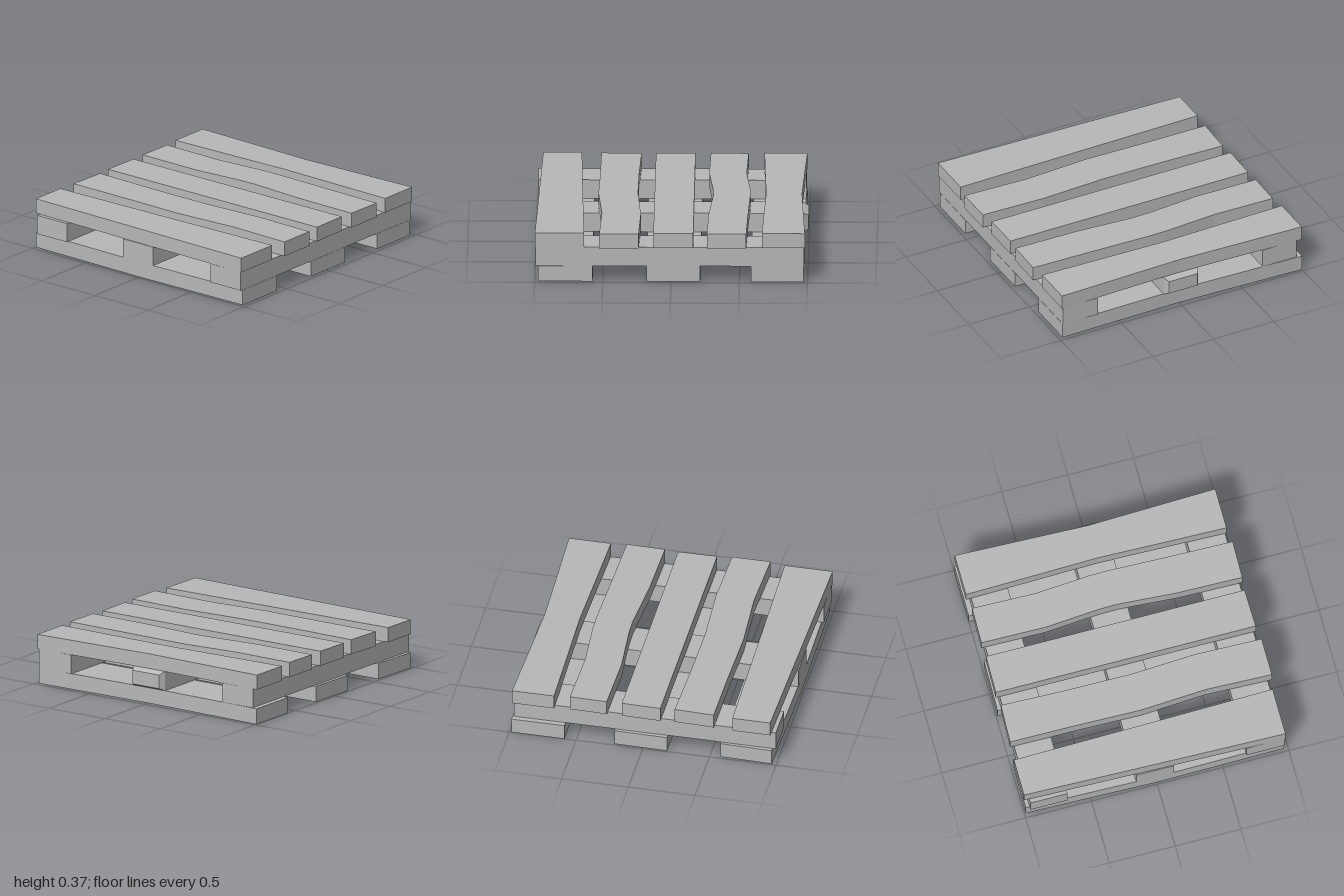
import * as THREE from 'three';

const wood = new THREE.MeshStandardMaterial({ color: 0xb8b8b8 });
wood.name = 'plain grey wood';

// Board with a wavy outline: back and front edges as [x, z] points, left to right
function board(name, back, front, y0, y1) {
  const outline = [...back, ...[...front].reverse()].map(([x, z]) => new THREE.Vector2(x, -z));
  const geo = new THREE.ExtrudeGeometry(new THREE.Shape(outline), { depth: y1 - y0, bevelEnabled: false });
  geo.rotateX(-Math.PI / 2).translate(0, y0, 0);
  const mesh = new THREE.Mesh(geo, wood);
  mesh.name = name;
  return mesh;
}

// Stringer beam; its back end can narrow to a blunt nose
function stringer(name, x0, x1, z0, z1, nose) {
  const y0 = 0.118, y1 = 0.262;
  let geo = new THREE.BoxGeometry(x1 - x0, y1 - y0, z1 - z0, 1, 1, 2);
  const p = geo.attributes.position;
  for (let i = 0; i < p.count; i++) {
    const z = p.getZ(i);
    if (Math.abs(z) < 0.01) p.setZ(i, (z0 - z1) / 2 + 0.04);
    else if (z < 0 && nose) p.setXY(i, p.getX(i) * 0.83, p.getY(i) * 0.72);
  }
  geo.translate((x0 + x1) / 2, (y0 + y1) / 2, (z0 + z1) / 2);
  geo = geo.toNonIndexed();
  geo.computeVertexNormals();
  const mesh = new THREE.Mesh(geo, wood);
  mesh.name = name;
  return mesh;
}

export function createModel() {
  const pallet = new THREE.Group();
  pallet.name = 'pallet';

  // Deck boards, back to front
  const deck = [
    [[[-1, -0.98], [0, -0.95], [0.98, -0.98]],
      [[-1, -0.665], [-0.5, -0.675], [0, -0.687], [0.5, -0.675], [0.98, -0.665]]],
    [[[-0.985, -0.55], [-0.5, -0.54], [-0.1, -0.57], [0.05, -0.572], [0.5, -0.56], [0.995, -0.55]],
      [[-0.99, -0.272], [-0.5, -0.265], [-0.1, -0.297], [0.05, -0.3], [0.5, -0.27], [0.99, -0.262]]],
    [[[-0.985, -0.16], [0.98, -0.162]], [[-0.99, 0.13], [0.985, 0.13]]],
    [[[-0.98, 0.235], [-0.5, 0.248], [0, 0.252], [0.5, 0.226], [1, 0.238]],
      [[-0.99, 0.53], [-0.5, 0.533], [0, 0.542], [0.5, 0.512], [1, 0.527]]],
    [[[-1, 0.672], [0, 0.656], [0.975, 0.638]], [[-1, 0.956], [0, 0.978], [0.975, 0.998]]],
  ];
  deck.forEach(([back, front], i) => pallet.add(board('deckBoard' + (i + 1), back, front, 0.262, 0.373)));

  // Three stringers running front to back
  pallet.add(stringer('rightStringer', -0.96, -0.68, -0.975, 0.99, false));
  pallet.add(stringer('middleStringer', -0.155, 0.13, -1, 0.985, true));
  pallet.add(stringer('leftStringer', 0.68, 0.968, -0.975, 0.995, false));

  // Bottom boards, back to front
  const base = [
    [[[-1, -0.985], [0, -0.955], [0.97, -0.97]], [[-1, -0.587], [0.97, -0.585]]],
    [[[-0.985, -0.215], [0.97, -0.213]], [[-0.99, 0.18], [0.97, 0.182]]],
    [[[-0.98, 0.578], [0.97, 0.575]], [[-0.99, 0.965], [0, 0.985], [0.97, 0.975]]],
  ];
  base.forEach(([back, front], i) => pallet.add(board('bottomBoard' + (i + 1), back, front, 0, 0.118)));

  return pallet;
}
